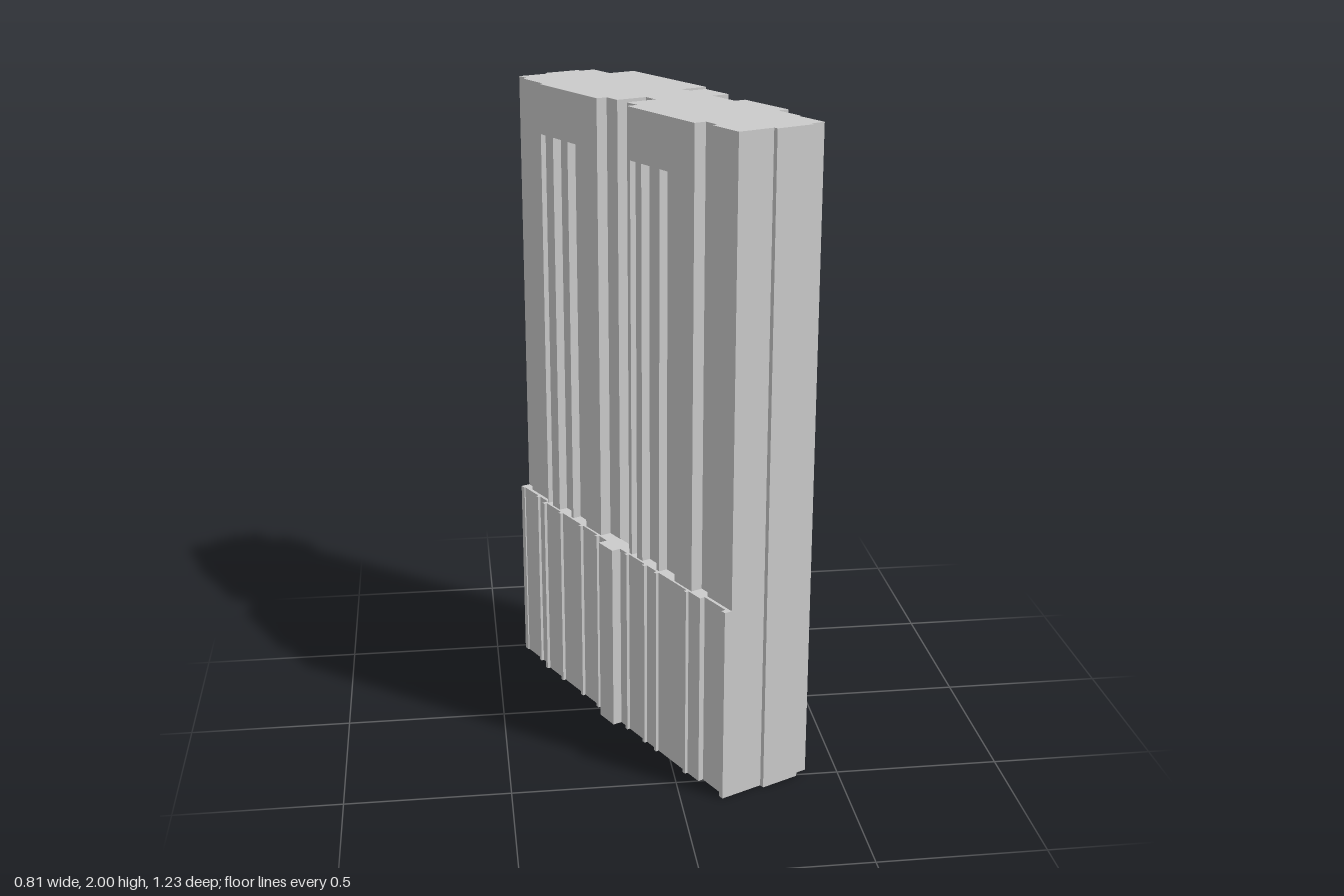
import * as THREE from 'three';
import { mergeGeometries } from 'three/addons/utils/BufferGeometryUtils.js';

// The plan is drawn along u (length) and w (width), then turned to its bearing.
const U0 = -0.61, U1 = 0.603;

// A long side is a list of strips [uStart, uEnd, w]; later strips override earlier ones.
const widthAt = (side, u) => side.reduce((w, [a, b, v]) => (u >= a && u < b ? v : w), 0);
const breaks = (...sides) =>
  [...new Set(sides.flat().flatMap(([a, b]) => [a, b]))].sort((a, b) => a - b);

function sideLine(side) {
  const us = breaks(side), line = [];
  for (let i = 0; i < us.length - 1; i++) {
    const w = widthAt(side, (us[i] + us[i + 1]) / 2);
    const last = line[line.length - 1];
    if (last && last[1] === w) last[0] = us[i + 1];
    else line.push([us[i], w], [us[i + 1], w]);
  }
  return line;
}

// Shallow stepped bays on both short ends
const frontEnd = [[U1, -0.014], [0.618, -0.014], [0.618, 0.112], [U1, 0.112]];
const backEnd = [[U0, 0.107], [-0.627, 0.107], [-0.627, -0.015], [U0, -0.015]];
const outline = (left, right) =>
  [...sideLine(left), ...frontEnd, ...sideLine(right).reverse(), ...backEnd];

function quads(list) {
  const pos = [];
  for (const [a, b, c, d] of list) pos.push(...a, ...b, ...c, ...a, ...c, ...d);
  const g = new THREE.BufferGeometry();
  g.setAttribute('position', new THREE.Float32BufferAttribute(pos, 3));
  g.computeVertexNormals();
  return g;
}

const walls = (pts, y0, y1) => quads(pts.map(([u, w], i) => {
  const [u2, w2] = pts[(i + 1) % pts.length];
  return [[u, y0, -w], [u2, y0, -w2], [u2, y1, -w2], [u, y1, -w]];
}));

// Horizontal ledges wherever a side changes width between two storeys
function ledges(lower, upper, y, limit = Infinity) {
  const us = breaks(lower, upper), list = [];
  for (let i = 0; i < us.length - 1; i++) {
    const a = us[i], b = us[i + 1], m = (a + b) / 2;
    const p = widthAt(lower, m), q = Math.min(widthAt(upper, m), limit);
    if (Math.abs(p - q) > 1e-4) list.push([[a, y, -p], [b, y, -p], [b, y, -q], [a, y, -q]]);
  }
  return quads(list);
}

// Left side: roof line, shaft with tall recesses, podium with fins
const leftRoof = [
  [U0, U1, -0.15], [U0, -0.56, -0.12], [-0.56, -0.43, -0.135],
  [-0.088, 0.08, -0.115], [-0.029, 0.024, -0.015],
  [0.425, 0.48, -0.113], [0.48, U1, -0.13],
];
const leftShaft = [
  ...leftRoof,
  [-0.425, -0.395, -0.122], [-0.35, -0.275, -0.122], [-0.262, -0.18, -0.122],
  [0.095, 0.125, -0.122], [0.155, 0.235, -0.122], [0.25, 0.335, -0.122],
];
const leftPodium = [
  [U0, U1, -0.157], [U0, -0.43, -0.146], [U0, -0.59, -0.15],
  [0.48, U1, -0.14], [0.585, U1, -0.154], [-0.042, 0.038, -0.187],
  ...[-0.43, -0.324, -0.194, -0.094, 0.084, 0.186, 0.252, 0.415]
    .map((u) => [u - 0.006, u + 0.006, -0.167]),
  [-0.5, -0.488, -0.155],
];

// Right side: overhanging roof, recessed shaft, and two lower ledge levels
const rightCommon = [
  [U0, U1, 0.157], [-0.099, -0.079, 0.16], [-0.079, -0.062, 0.166],
  [-0.062, 0.059, 0.222], [0.059, 0.172, 0.165],
  [0.172, 0.381, 0.201], [0.381, 0.485, 0.165],
];
const rightRoof = [...rightCommon, [-0.511, -0.099, 0.248]];
const rightShaft = [
  ...rightCommon,
  [-0.42, -0.408, 0.145], [-0.317, -0.267, 0.14], [-0.18, -0.099, 0.15],
  [0.253, 0.275, 0.165], [0.275, 0.32, 0.185],
];
const rightMid = [...rightShaft, [-0.079, -0.062, 0.222], [0.059, 0.074, 0.222]];
const rightBase = [
  ...rightMid, [-0.317, -0.267, 0.157], [0.074, 0.172, 0.178], [0.253, 0.32, 0.201],
];

export function createModel() {
  const model = new THREE.Group();
  model.name = 'towerBlock';
  const plan = new THREE.Group();
  plan.name = 'tower';
  plan.rotation.y = -Math.atan2(0.899, 0.437);
  model.add(plan);

  const material = new THREE.MeshStandardMaterial({
    color: 0xcccccc, side: THREE.DoubleSide, flatShading: true,
  });
  const add = (name, ...parts) => {
    const mesh = new THREE.Mesh(mergeGeometries(parts), material);
    mesh.name = name;
    plan.add(mesh);
  };

  // Podium, open at the bottom, with the light well running through it
  const well = [[-0.029, -0.113], [-0.029, -0.015], [0.024, -0.015], [0.024, -0.113]];
  add('podium',
    walls(outline(leftPodium, rightBase), 0, 0.455),
    walls(outline(leftPodium, rightMid), 0.455, 0.525),
    walls(outline(leftPodium, rightShaft), 0.525, 0.61));
  add('lightWell', walls(well, 0, 0.61));
  add('podiumLedges',
    ledges(rightBase, rightMid, 0.455),
    ledges(rightMid, rightShaft, 0.525),
    ledges(leftPodium, leftShaft, 0.61, -0.113));

  // Tall shaft
  add('shaft', walls(outline(leftShaft, rightShaft), 0.61, 1.845));

  // Roof storey with overhang
  const roofLine = outline(leftRoof, rightRoof);
  add('roofSoffit',
    ledges(leftShaft, leftRoof, 1.845), ledges(rightShaft, rightRoof, 1.845));
  add('roofStorey', walls(roofLine, 1.845, 2));
  const shape = new THREE.Shape(roofLine.map(([u, w]) => new THREE.Vector2(u, w)));
  const roof = new THREE.ShapeGeometry(shape).rotateX(-Math.PI / 2).translate(0, 2, 0);
  add('roof', roof);

  return model;
}
